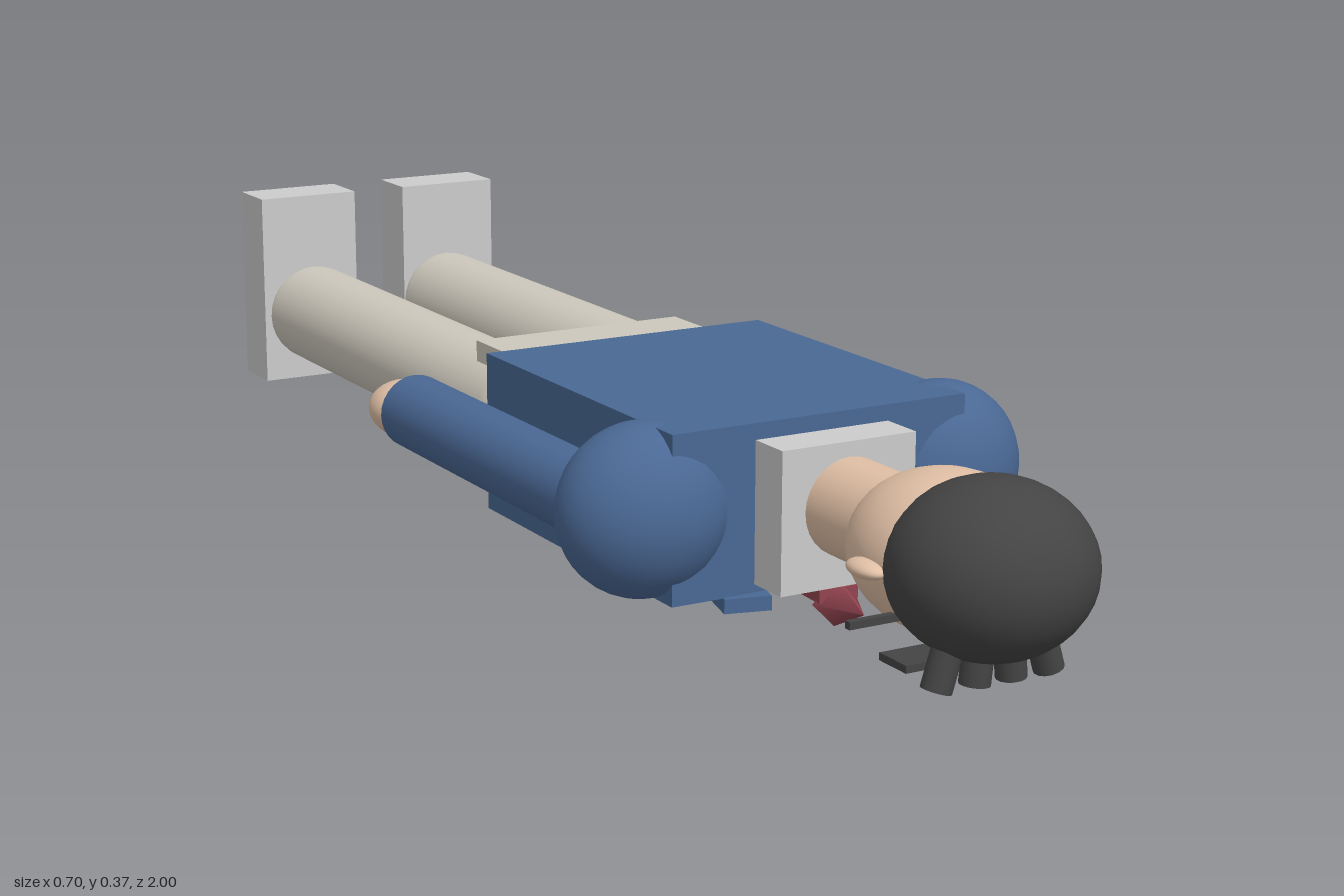
import * as THREE from 'three';

const mat = (color) => new THREE.MeshStandardMaterial({ color });

export function createModel() {
  const model = new THREE.Group();
  const cloth = mat(0x4a6894), trousers = mat(0xcdc8bc), skin = mat(0xe0bfa5);
  const dark = mat(0x444444), red = mat(0x934450), grey = mat(0xcccccc);

  const add = (name, geometry, material, x, y, z) => {
    const mesh = new THREE.Mesh(geometry, material);
    mesh.name = name;
    mesh.position.set(x, y, z);
    model.add(mesh);
    return mesh;
  };
  const box = (name, m, x, y, z, w, h, d) => add(name, new THREE.BoxGeometry(w, h, d), m, x, y, z);
  const ball = (name, m, x, y, z, rx, ry, rz) =>
    add(name, new THREE.SphereGeometry(1, 32, 20).scale(rx, ry, rz), m, x, y, z);
  // limb running along z from z0 to z1 with round ends
  const limb = (name, m, x, y, z0, z1, r) =>
    add(name, new THREE.CapsuleGeometry(r, z1 - z0 - 2 * r, 8, 28).rotateX(Math.PI / 2), m, x, y, (z0 + z1) / 2);

  // Body, lying face down with the head towards +z
  box('torso', cloth, 0, 0.167, 0.23, 0.455, 0.23, 0.53);
  box('pelvis', trousers, 0, 0.17, -0.09, 0.34, 0.19, 0.19);
  box('collar', grey, 0, 0.162, 0.522, 0.206, 0.195, 0.076);
  add('neck', new THREE.CylinderGeometry(0.067, 0.067, 0.18, 28).rotateX(Math.PI / 2), skin, 0, 0.172, 0.6);

  // Head
  ball('head', skin, 0, 0.171, 0.78, 0.12, 0.103, 0.14);
  ball('hair', dark, 0, 0.173, 0.87, 0.133, 0.114, 0.13);
  add('nose', new THREE.ConeGeometry(0.016, 0.045, 12).rotateX(Math.PI), skin, 0, 0.037, 0.782);
  box('glassesRod', dark, 0, 0.108, 0.805, 0.326, 0.01, 0.01);
  box('glassesBridge', dark, 0, 0.053, 0.815, 0.03, 0.008, 0.01);

  // Mirrored parts
  for (const s of [-1, 1]) {
    limb('leg', trousers, s * 0.125, 0.168, -0.98, -0.04, 0.08);
    box('shoe', grey, s * 0.13, 0.213, -0.955, 0.17, 0.314, 0.09);
    ball('shoulder', cloth, s * 0.232, 0.168, 0.427, 0.12, 0.118, 0.1);
    // sleeve with a flat cuff
    add('arm', new THREE.CylinderGeometry(0.055, 0.055, 0.58, 28).rotateX(Math.PI / 2), cloth,
      s * 0.27, 0.168, 0.1);
    ball('hand', skin, s * 0.269, 0.167, -0.21, 0.058, 0.043, 0.075);
    ball('ear', skin, s * 0.122, 0.167, 0.782, 0.02, 0.012, 0.034);
    box('glassesLens', dark, s * 0.058, 0.053, 0.815, 0.09, 0.01, 0.058);
    box('lapel', cloth, s * 0.083, 0.043, 0.36, 0.065, 0.02, 0.31).rotation.y = s * 0.25;

    // Fringe tufts fanning out from the forehead
    for (const [x, tilt] of [[0.024, 0.1], [0.074, 0.3]]) {
      const tuft = add('fringeTuft', new THREE.CylinderGeometry(0.02, 0.02, 0.07, 14), dark, s * x, 0.068, 0.88);
      tuft.rotation.z = s * tilt;
    }
  }

  // Tie: pyramid knot and a blade tapering towards the belly
  add('tieKnot', new THREE.ConeGeometry(0.035, 0.07, 4).toNonIndexed().rotateX(Math.PI / 2), red, 0, 0.035, 0.565);
  const blade = new THREE.Shape([[-0.03, 0.54], [0.03, 0.54], [0.013, 0.18], [-0.013, 0.18]]
    .map(([x, z]) => new THREE.Vector2(x, z)));
  const bladeGeometry = new THREE.ExtrudeGeometry(blade, { depth: 0.018, bevelEnabled: false });
  add('tieBlade', bladeGeometry.rotateX(Math.PI / 2), red, 0, 0.056, 0);
  add('button', new THREE.CylinderGeometry(0.011, 0.011, 0.014, 16), dark, 0, 0.049, 0.125);

  return model;
}
